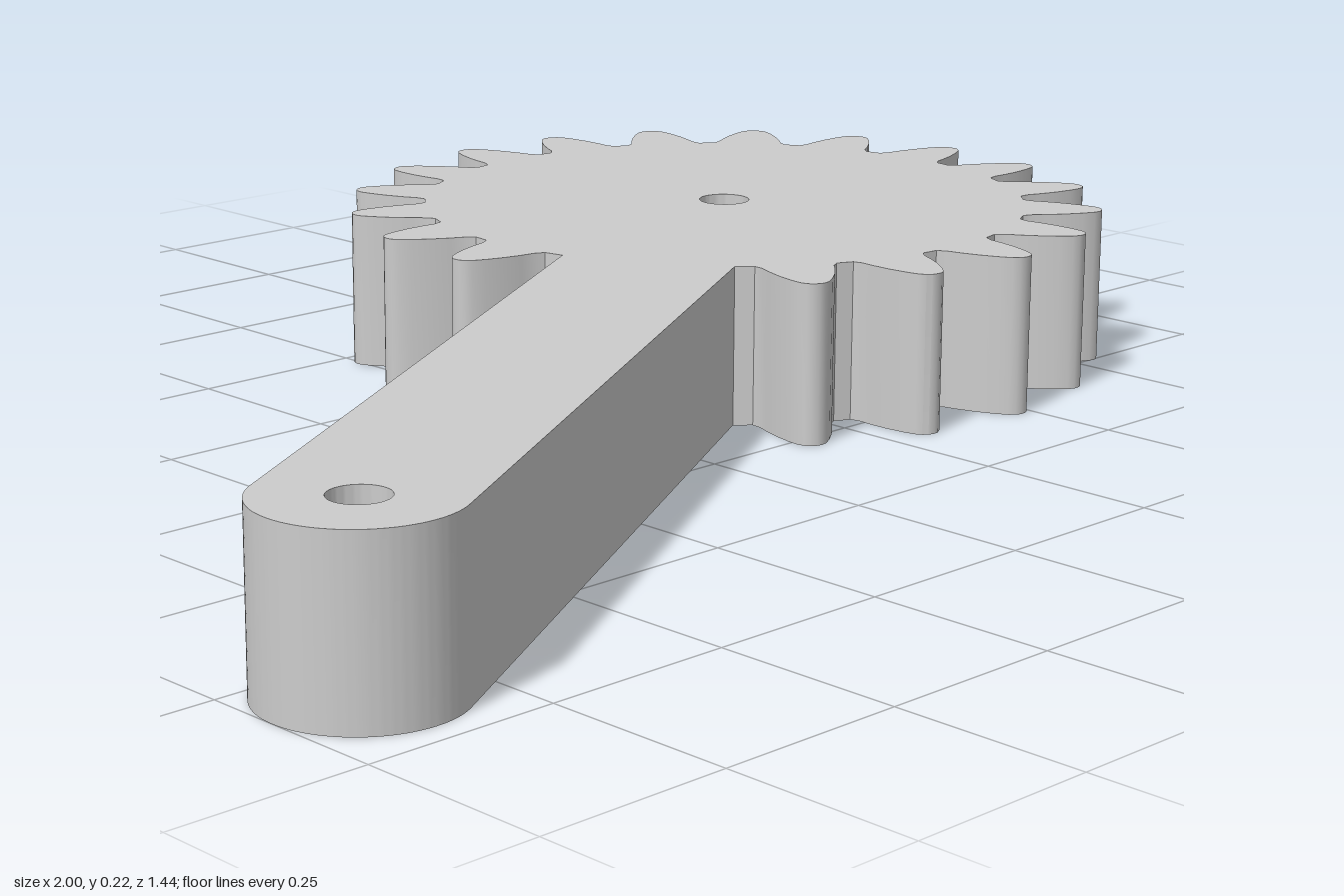
import * as THREE from 'three';
import { toCreasedNormals } from 'three/addons/utils/BufferGeometryUtils.js';

const HEIGHT = 0.22;
const GEAR = new THREE.Vector2(0.453, 0.177);   // plan coordinates: x, -z
const PIVOT = new THREE.Vector2(-0.88, -0.597);
const ARM_HALF_WIDTH = 0.12;
const HOLE_RADIUS = 0.036;
const ROOT_RADIUS = 0.437;
const TEETH = 20;
const FIRST_TOOTH = 237;                        // first tooth past the arm, degrees
const TEETH_UNDER_ARM = 2;                      // teeth replaced by the arm

// Half tooth from root to tip: radius, half angle in degrees
const FLANK = [
  [ROOT_RADIUS, 7.4], [0.449, 6.3], [0.47, 5.5], [0.495, 4.4],
  [0.52, 3.1], [0.536, 2.1], [0.543, 1.3], [0.546, 0.5],
];

const polar = (radius, degrees) => {
  const a = THREE.MathUtils.degToRad(degrees);
  return new THREE.Vector2(GEAR.x + radius * Math.cos(a), GEAR.y + radius * Math.sin(a));
};

function hole(centre) {
  return new THREE.Path().absarc(centre.x, centre.y, HOLE_RADIUS, 0, Math.PI * 2, true);
}

function outline() {
  const points = [];
  // Teeth, counter-clockwise from one side of the arm to the other
  for (let i = 0; i < TEETH - TEETH_UNDER_ARM; i++) {
    const middle = FIRST_TOOTH + i * 360 / TEETH;
    FLANK.forEach(([r, a]) => points.push(polar(r, middle - a)));
    [...FLANK].reverse().forEach(([r, a]) => points.push(polar(r, middle + a)));
  }

  // Straight arm with a round end, meeting the gear at its root circle
  const direction = Math.atan2(GEAR.y - PIVOT.y, GEAR.x - PIVOT.x);
  const armAngle = 180 + THREE.MathUtils.radToDeg(direction);
  const spread = THREE.MathUtils.radToDeg(Math.asin(ARM_HALF_WIDTH / ROOT_RADIUS));
  points.push(polar(ROOT_RADIUS, armAngle - spread));
  const shape = new THREE.Shape(points);
  shape.absarc(PIVOT.x, PIVOT.y, ARM_HALF_WIDTH,
    direction + Math.PI / 2, direction + Math.PI * 1.5, false);
  const end = polar(ROOT_RADIUS, armAngle + spread);
  shape.lineTo(end.x, end.y);
  shape.closePath();

  shape.holes.push(hole(GEAR), hole(PIVOT));
  return shape;
}

export function createModel() {
  const group = new THREE.Group();
  group.name = 'gearLever';

  // Gear and arm are one solid plate, laid flat
  const plate = new THREE.ExtrudeGeometry(outline(), {
    depth: HEIGHT, bevelEnabled: false, curveSegments: 32,
  });
  plate.rotateX(-Math.PI / 2);

  const mesh = new THREE.Mesh(
    toCreasedNormals(plate, THREE.MathUtils.degToRad(28)),
    new THREE.MeshStandardMaterial({ color: 0xcccccc }),
  );
  mesh.name = 'gearWithArm';
  group.add(mesh);
  return group;
}
